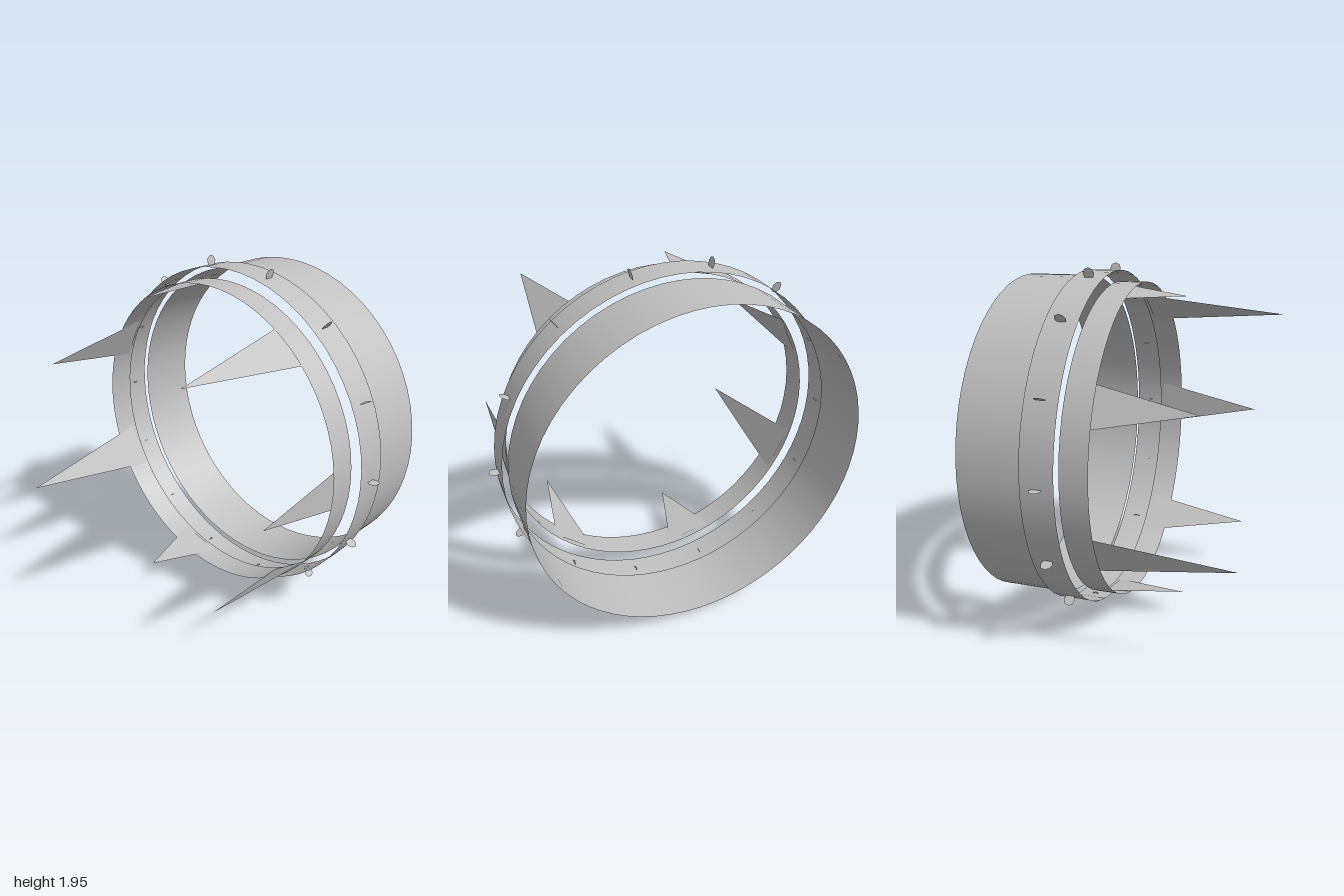
import * as THREE from 'three';

const CY = 0.975; // height of the ring axis

export function createModel() {
  const group = new THREE.Group();
  const metal = new THREE.MeshStandardMaterial({ color: 0xc0c0c0, side: THREE.DoubleSide });
  metal.name = 'grey metal';

  // Three open sleeves sharing one axis along z
  function addRing(name, radius, zFront, zBack) {
    const geo = new THREE.CylinderGeometry(radius, radius, zFront - zBack, 64, 1, true);
    geo.rotateX(Math.PI / 2);
    const ring = new THREE.Mesh(geo, metal);
    ring.name = name;
    ring.position.set(0, CY, (zFront + zBack) / 2);
    group.add(ring);
  }
  addRing('frontRing', 0.887, -0.014, -0.163);
  addRing('studBand', 0.947, -0.163, -0.34);
  addRing('rearSleeve', 0.917, -0.34, -0.692);

  // Seven flat spikes in three repeating lengths, leaning slightly inward
  const tips = [0.49, 0.692, 0.28];
  for (let i = 0; i < 7; i++) {
    const geo = new THREE.BufferGeometry();
    geo.setAttribute('position', new THREE.Float32BufferAttribute([
      0.877, -0.136, -0.14,
      0.877, 0.136, -0.14,
      0.861, 0, tips[i % 3],
    ], 3));
    geo.computeVertexNormals();
    const spike = new THREE.Mesh(geo, metal);
    spike.name = 'spike';
    spike.position.y = CY;
    spike.rotation.z = (i / 7) * Math.PI * 2;
    group.add(spike);
  }

  // Fourteen flat studs standing on edge around the band
  const studGeo = new THREE.CircleGeometry(0.032, 8);
  studGeo.rotateX(-Math.PI / 2);
  studGeo.translate(0.968, 0, -0.25);
  for (let i = 0; i < 14; i++) {
    const stud = new THREE.Mesh(studGeo, metal);
    stud.name = 'stud';
    stud.position.y = CY;
    stud.rotation.z = (i / 14) * Math.PI * 2;
    group.add(stud);
  }
  return group;
}
